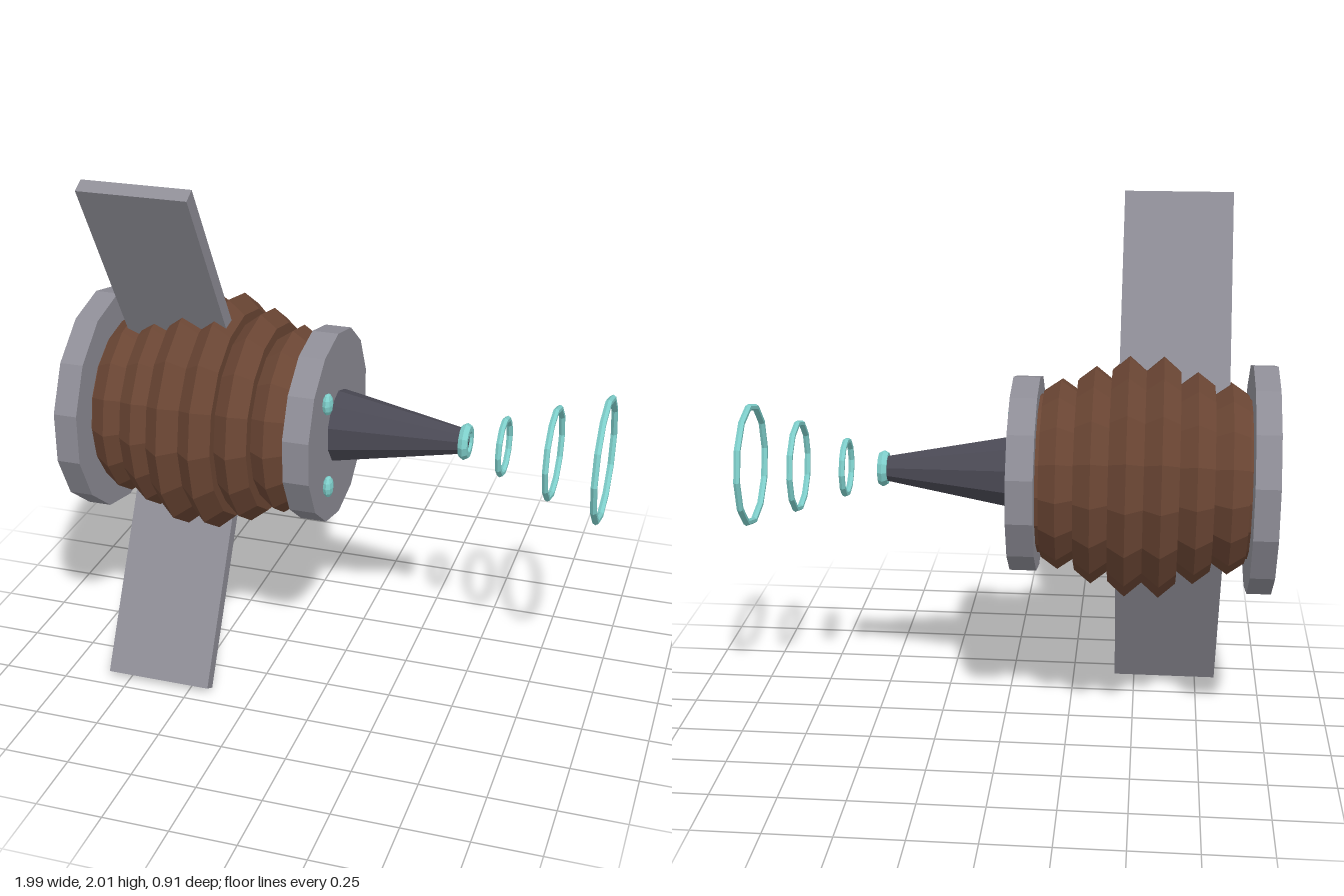
import * as THREE from 'three';

const paint = (color) => new THREE.MeshStandardMaterial({ color, flatShading: true });

export function createModel() {
  const group = new THREE.Group();
  const metal = paint(0x8e8d96), hide = paint(0x6b4634), dark = paint(0x4a4954), glow = paint(0x7fd0cc);

  const add = (name, geometry, material, x, y = 1, z = 0) => {
    const mesh = new THREE.Mesh(geometry, material);
    mesh.name = name;
    mesh.position.set(x, y, z);
    group.add(mesh);
    return mesh;
  };

  // Cylinder or cone lying along x, from x0 (radius r0) to x1 (radius r1)
  const barrel = (name, x0, x1, r0, r1, sides, material) =>
    add(name, new THREE.CylinderGeometry(r1, r0, x1 - x0, sides, 1, false, Math.PI / 2)
      .rotateZ(-Math.PI / 2), material, (x0 + x1) / 2);

  // End plates
  barrel('rearPlate', -1, -0.91, 0.43, 0.43, 14, metal);
  barrel('frontPlate', -0.13, -0.03, 0.37, 0.37, 14, metal);

  // Ribbed body: six double-cone segments with stepped ends
  const width = 0.126;
  [0.36, 0.4, 0.455, 0.455, 0.41, 0.36].forEach((r, i) => {
    const h = width / 2, end = r * 0.88;
    const profile = [[0, -h], [end, -h], [r, 0], [end, h], [0, h]].map((p) => new THREE.Vector2(...p));
    add('bodyRib' + (i + 1), new THREE.LatheGeometry(profile, 16).rotateZ(-Math.PI / 2),
      hide, -0.9 + width * (i + 0.5));
  });
  barrel('bodyCore', -0.92, -0.12, 0.3, 0.3, 16, hide);

  // Tapered snout
  barrel('snout', -0.04, 0.47, 0.142, 0.045, 10, dark);

  // Rings at and beyond the snout tip: x, ring radius, tube radius
  [[0.463, 0.05, 0.02], [0.607, 0.103, 0.012], [0.792, 0.167, 0.012], [0.977, 0.226, 0.013]]
    .forEach(([x, r, tube], i) => {
      add('waveRing' + (i + 1), new THREE.TorusGeometry(r, tube, 6, 12).rotateY(Math.PI / 2), glow, x);
    });

  // Upper and lower eyes and fins
  for (const [side, s] of [['upper', 1], ['lower', -1]]) {
    add(side + 'Eye', new THREE.SphereGeometry(1, 8, 6).scale(0.02, 0.042, 0.032),
      glow, -0.012, 1 + s * 0.168, 0.187);

    const fin = add(side + 'Fin', new THREE.BoxGeometry(0.41, 0.8, 0.056), metal, -0.625, 1 + s * 0.64, 0.236);
    fin.rotation.x = s * 0.505;
  }
  return group;
}
